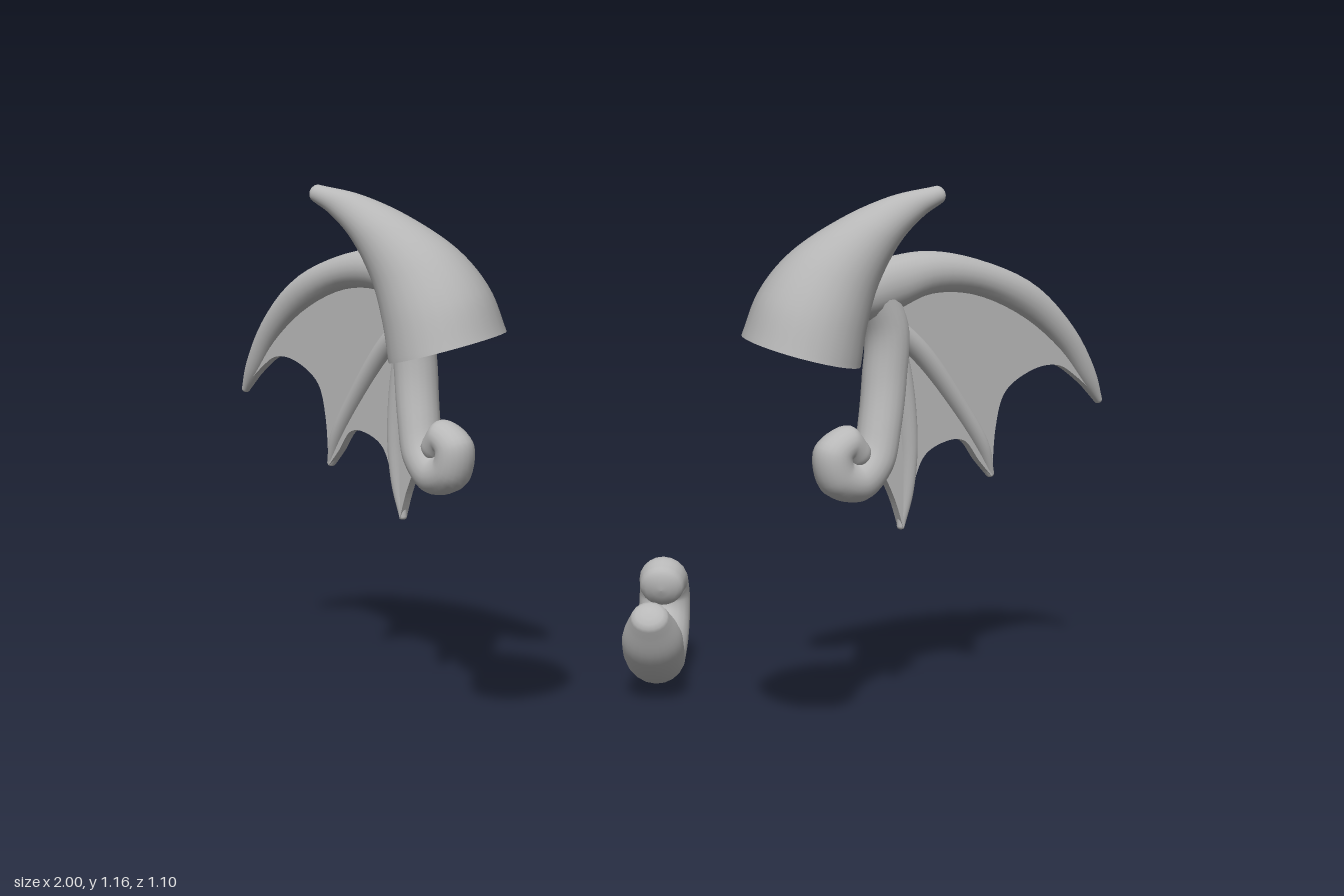
import * as THREE from 'three';

const skin = new THREE.MeshStandardMaterial({ color: 0xb8b8b8, side: THREE.DoubleSide });
skin.name = 'grey';

// Smooth closed loft in the xy plane. Each section is [ax, ay, bx, by, halfDepth, zOffset]:
// a lies to the left of the direction of travel, b to the right.
function loft(sections, { steps = 40, sides = 20, openStart = false, bulge = 0.8 } = {}) {
  const curveA = new THREE.CatmullRomCurve3(sections.map((s) => new THREE.Vector3(s[0], s[1], s[4])));
  const curveB = new THREE.CatmullRomCurve3(sections.map((s) => new THREE.Vector3(s[2], s[3], s[5] || 0)));
  const positions = [], index = [];
  let rings = 0;
  const addRing = (t, phi) => {
    const a = curveA.getPoint(t), b = curveB.getPoint(t);
    const hx = (a.x - b.x) / 2, hy = (a.y - b.y) / 2;
    const scale = Math.max(Math.cos(phi), 0.001), push = Math.sin(phi) * bulge;
    const cx = (a.x + b.x) / 2 + hy * push, cy = (a.y + b.y) / 2 - hx * push;
    for (let j = 0; j < sides; j++) {
      const angle = (j / sides) * Math.PI * 2, c = Math.cos(angle) * scale;
      positions.push(cx + hx * c, cy + hy * c, b.z + Math.sin(angle) * scale * a.z);
    }
    rings++;
  };
  // rounded ends are quarter-circle domes
  const dome = [0.25, 0.5, 0.75, 1].map((k) => (k * Math.PI) / 2);
  if (!openStart) [...dome].reverse().forEach((phi) => addRing(0, -phi));
  for (let i = 0; i <= steps; i++) addRing(i / steps, 0);
  dome.forEach((phi) => addRing(1, phi));
  for (let i = 0; i < rings - 1; i++) {
    for (let j = 0; j < sides; j++) {
      const k = (j + 1) % sides, p = i * sides, q = p + sides;
      index.push(p + j, p + k, q + j, p + k, q + k, q + j);
    }
  }
  const geometry = new THREE.BufferGeometry();
  geometry.setAttribute('position', new THREE.Float32BufferAttribute(positions, 3));
  geometry.setIndex(index);
  geometry.computeVertexNormals();
  return geometry;
}

// Tapered tube along a path of [x, y, radius, zOffset]; depth scales its z thickness.
function taperedTube(path, depth = 1, options = {}) {
  return loft(path.map(([x, y, r, z = 0], i) => {
    const p = path[Math.max(i - 1, 0)], n = path[Math.min(i + 1, path.length - 1)];
    const length = Math.hypot(n[0] - p[0], n[1] - p[1]);
    const nx = (-(n[1] - p[1]) / length) * r, ny = ((n[0] - p[0]) / length) * r;
    return [x + nx, y + ny, x - nx, y - ny, r * depth, z];
  }), options);
}

function part(name, geometry) {
  const mesh = new THREE.Mesh(geometry, skin);
  mesh.name = name;
  return mesh;
}

// Curved hollow horn, open at the base
function hornGeometry() {
  return loft([
    [0.22, 0.885, 0.44, 0.828, 0.13],
    [0.25, 0.965, 0.45, 0.9, 0.113],
    [0.305, 1.035, 0.47, 0.98, 0.086],
    [0.4, 1.1, 0.51, 1.06, 0.053],
    [0.49, 1.14, 0.55, 1.105, 0.028],
    [0.565, 1.157, 0.58, 1.127, 0.016],
  ], { sides: 28, openStart: true });
}

// Webbing between arm, fingers and limb, with scalloped lower edge
function membraneGeometry() {
  const points = (list) => list.map(([x, y]) => new THREE.Vector2(x, y));
  const shape = new THREE.Shape();
  shape.moveTo(0.14, 0.93);
  shape.splineThru(points([[0.28, 0.96], [0.41, 0.95], [0.56, 0.895], [0.68, 0.805], [0.75, 0.715], [0.79, 0.66]]));
  shape.splineThru(points([[0.71, 0.72], [0.65, 0.75], [0.575, 0.743], [0.5, 0.7], [0.475, 0.62], [0.47, 0.515]]));
  shape.splineThru(points([[0.43, 0.555], [0.39, 0.6], [0.34, 0.605], [0.28, 0.58], [0.25, 0.52], [0.225, 0.425]]));
  shape.splineThru(points([[0.2, 0.49], [0.165, 0.55], [0.12, 0.59]]));
  shape.lineTo(0.17, 0.75);
  const geometry = new THREE.ExtrudeGeometry(shape, { depth: 0.02, bevelEnabled: false, curveSegments: 6 });
  return geometry.translate(0, 0, -0.01);
}

// Wing lies in its own xy plane; side (+1 / -1) tells which way local z faces the front
function wing(name, side) {
  const group = new THREE.Group();
  group.name = name;
  const arm = loft([
    [-0.025, 0.93, -0.012, 0.895, 0.025],
    [0.01, 0.957, 0.04, 0.88, 0.045],
    [0.07, 0.98, 0.1, 0.87, 0.05],
    [0.17, 1.002, 0.19, 0.89, 0.047],
    [0.28, 1.012, 0.28, 0.92, 0.045],
    [0.42, 0.99, 0.4, 0.915, 0.04],
    [0.58, 0.93, 0.545, 0.86, 0.035],
    [0.7, 0.83, 0.66, 0.78, 0.028],
    [0.77, 0.73, 0.735, 0.7, 0.02],
    [0.797, 0.665, 0.78, 0.658, 0.01],
  ]);
  const w = 0.03 * side;
  const limb = taperedTube([
    [0.14, 0.93, 0.045], [0.175, 0.85, 0.047], [0.172, 0.75, 0.047], [0.155, 0.66, 0.046, w / 3],
    [0.13, 0.585, 0.046, w * 0.7], [0.08, 0.545, 0.045, w], [0.03, 0.56, 0.044, w],
    [0.02, 0.605, 0.042, w], [0.055, 0.625, 0.038, w], [0.08, 0.6, 0.032, w],
  ], 1, { steps: 60 });
  const middleFinger = taperedTube([
    [0.15, 0.88, 0.028], [0.26, 0.8, 0.026], [0.37, 0.68, 0.022], [0.445, 0.58, 0.018], [0.472, 0.52, 0.009],
  ], 1.1);
  const innerFinger = taperedTube([
    [0.17, 0.88, 0.028], [0.215, 0.74, 0.026], [0.237, 0.6, 0.022], [0.236, 0.5, 0.016], [0.225, 0.428, 0.008],
  ], 1.1);
  group.add(
    part('wingArm', arm), part('wingLimbCurl', limb), part('middleFinger', middleFinger),
    part('innerFinger', innerFinger), part('wingMembrane', membraneGeometry()),
  );
  const sweep = Math.atan2(0.6, 0.8);
  group.rotation.y = side > 0 ? sweep : Math.PI - sweep;
  group.position.set(0.36 * side, 0, 0.05);
  return group;
}

export function createModel() {
  const model = new THREE.Group();
  model.name = 'hornsWingsAndTail';

  for (const side of [1, -1]) {
    const label = side > 0 ? 'left' : 'right';
    const horn = part(label + 'Horn', hornGeometry());
    horn.rotation.y = side > 0 ? 0 : Math.PI;
    horn.position.z = 0.422;
    model.add(horn, wing(label + 'Wing', side));
  }

  // Tail curls upward behind; its local x runs towards the back
  const tail = part('tail', taperedTube([
    [0.108, 0.208, 0.04], [0.16, 0.15, 0.063], [0.215, 0.103, 0.065], [0.285, 0.07, 0.06],
    [0.36, 0.058, 0.058], [0.43, 0.076, 0.058], [0.477, 0.118, 0.058], [0.491, 0.168, 0.057],
    [0.473, 0.205, 0.055], [0.445, 0.217, 0.053], [0.412, 0.208, 0.049],
  ], 1.06, { steps: 60, bulge: 0.5 }));
  tail.rotation.y = Math.PI / 2;
  model.add(tail);

  return model;
}
